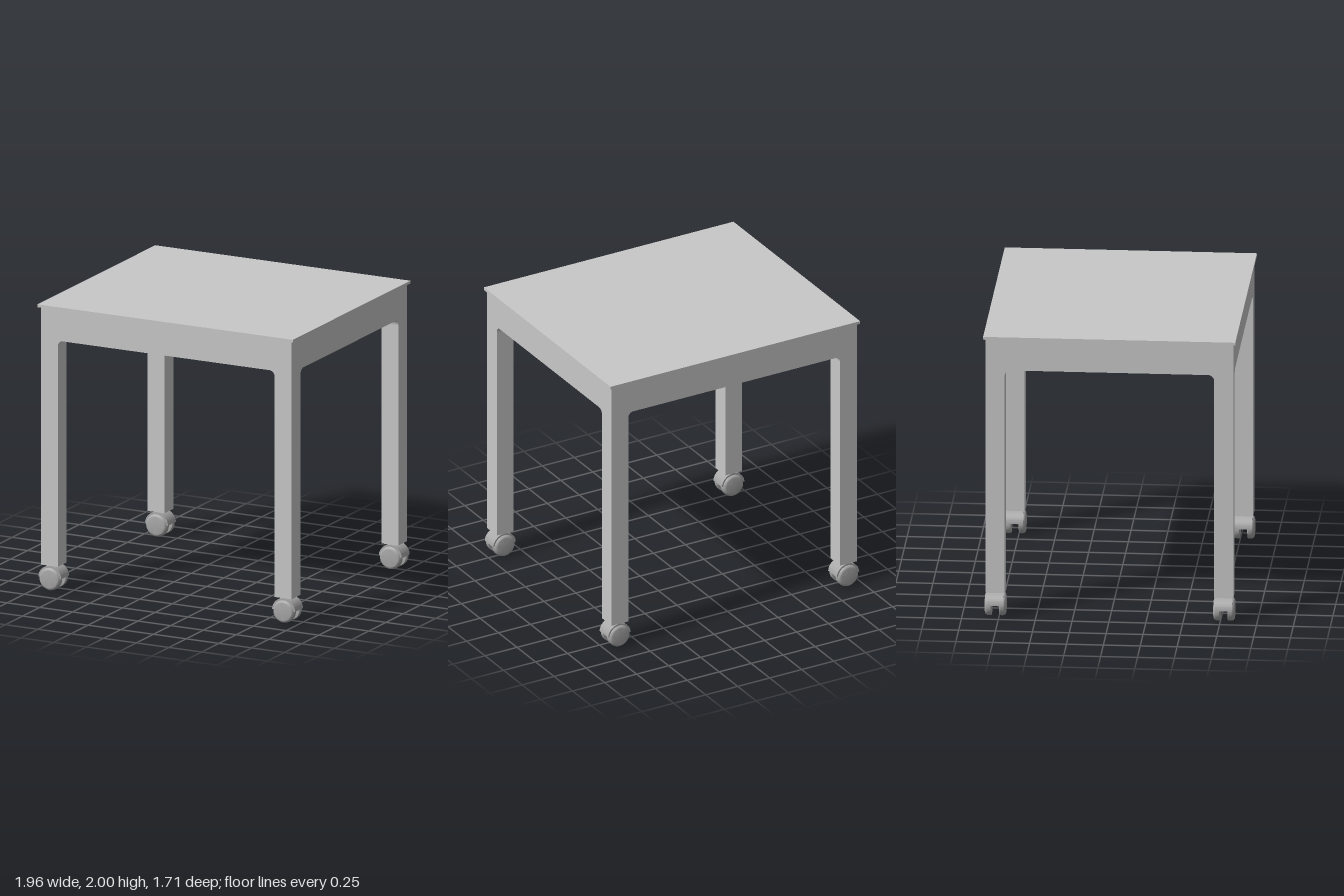
import * as THREE from 'three';
import { toCreasedNormals } from 'three/addons/utils/BufferGeometryUtils.js';

const HX = 0.958, HZ = 0.84;          // half size of the frame
const LEG = 0.13;                     // leg and apron thickness
const FLOOR = 0.175, APRON = 1.76, TOP = 1.98;

const frameGrey = new THREE.MeshStandardMaterial({ color: 0xc8c8c8 });
frameGrey.name = 'light grey';
const casterGrey = new THREE.MeshStandardMaterial({ color: 0xa8a8a8 });
casterGrey.name = 'caster grey';

function add(parent, name, geometry, material, x = 0, y = 0, z = 0) {
  const mesh = new THREE.Mesh(geometry, material);
  mesh.name = name;
  mesh.position.set(x, y, z);
  parent.add(mesh);
  return mesh;
}

// Rail between two legs, with a small rounded bracket at each end
function apronGeometry(half) {
  const r = 0.04;
  const s = new THREE.Shape();
  s.moveTo(-half, TOP);
  s.lineTo(-half, APRON - r);
  s.absarc(-half + r, APRON - r, r, Math.PI, Math.PI / 2, true);
  s.absarc(half - r, APRON - r, r, Math.PI / 2, 0, true);
  s.lineTo(half, TOP);
  const g = new THREE.ExtrudeGeometry(s, { depth: LEG, bevelEnabled: false, curveSegments: 8 });
  g.translate(0, 0, -LEG / 2);
  return toCreasedNormals(g, 0.6);
}

// Wheel disc with a rounded outer rim, its axis along y
function wheelGeometry() {
  const r = 0.08, inner = 0.026, outer = 0.072, round = 0.022;
  const pts = [new THREE.Vector2(0, inner), new THREE.Vector2(r - 0.004, inner), new THREE.Vector2(r, inner + 0.004)];
  for (let i = 0; i <= 6; i++) {
    const a = (i / 6) * Math.PI / 2;
    pts.push(new THREE.Vector2(r - round + round * Math.cos(a), outer - round + round * Math.sin(a)));
  }
  pts.push(new THREE.Vector2(0, outer));
  return toCreasedNormals(new THREE.LatheGeometry(pts, 40), 0.6);
}

// Half-round cover above the wheels
function hoodGeometry() {
  const s = new THREE.Shape();
  s.absarc(0, 0, 0.088, 0.057, Math.PI - 0.057, false);
  const g = new THREE.ExtrudeGeometry(s, { depth: 0.116, bevelEnabled: false, curveSegments: 32 });
  g.translate(0, 0, -0.058);
  return toCreasedNormals(g, 0.6);
}

export function createModel() {
  const model = new THREE.Group();
  model.name = 'rollingTable';

  // Table top and the recessed panel beneath it
  add(model, 'tableTop', new THREE.BoxGeometry(1.95, 0.02, 1.71), frameGrey, 0, 1.99, 0);
  add(model, 'underPanel', new THREE.BoxGeometry(2 * (HX - LEG), TOP - 1.79, 2 * (HZ - LEG)),
    frameGrey, 0, (TOP + 1.79) / 2, 0);

  // Aprons
  const longApron = apronGeometry(HX - LEG);
  const sideApron = apronGeometry(HZ - LEG);
  for (const s of [1, -1]) {
    add(model, s > 0 ? 'frontApron' : 'backApron', longApron, frameGrey, 0, 0, s * (HZ - LEG / 2));
    add(model, s > 0 ? 'leftApron' : 'rightApron', sideApron, frameGrey, s * (HX - LEG / 2), 0, 0)
      .rotation.y = Math.PI / 2;
  }

  // Legs with twin-wheel casters
  const legGeometry = new THREE.BoxGeometry(LEG, TOP - FLOOR, LEG);
  const wheel = wheelGeometry();
  const hood = hoodGeometry();
  const stem = new THREE.CylinderGeometry(0.025, 0.025, 0.03, 20);
  for (const sx of [1, -1]) {
    for (const sz of [1, -1]) {
      const x = sx * (HX - LEG / 2), z = sz * (HZ - LEG / 2);
      const name = (sz > 0 ? 'front' : 'back') + (sx > 0 ? 'Left' : 'Right');
      add(model, name + 'Leg', legGeometry, frameGrey, x, (TOP + FLOOR) / 2, z);

      const caster = new THREE.Group();
      caster.name = name + 'Caster';
      caster.position.set(x, 0.083, z);
      add(caster, 'hood', hood, casterGrey);
      add(caster, 'stem', stem, casterGrey, 0, 0.08, 0);
      for (const side of [1, -1]) {
        add(caster, 'wheel', wheel, casterGrey, 0, -0.003, 0).rotation.x = side * Math.PI / 2;
      }
      model.add(caster);
    }
  }
  return model;
}
